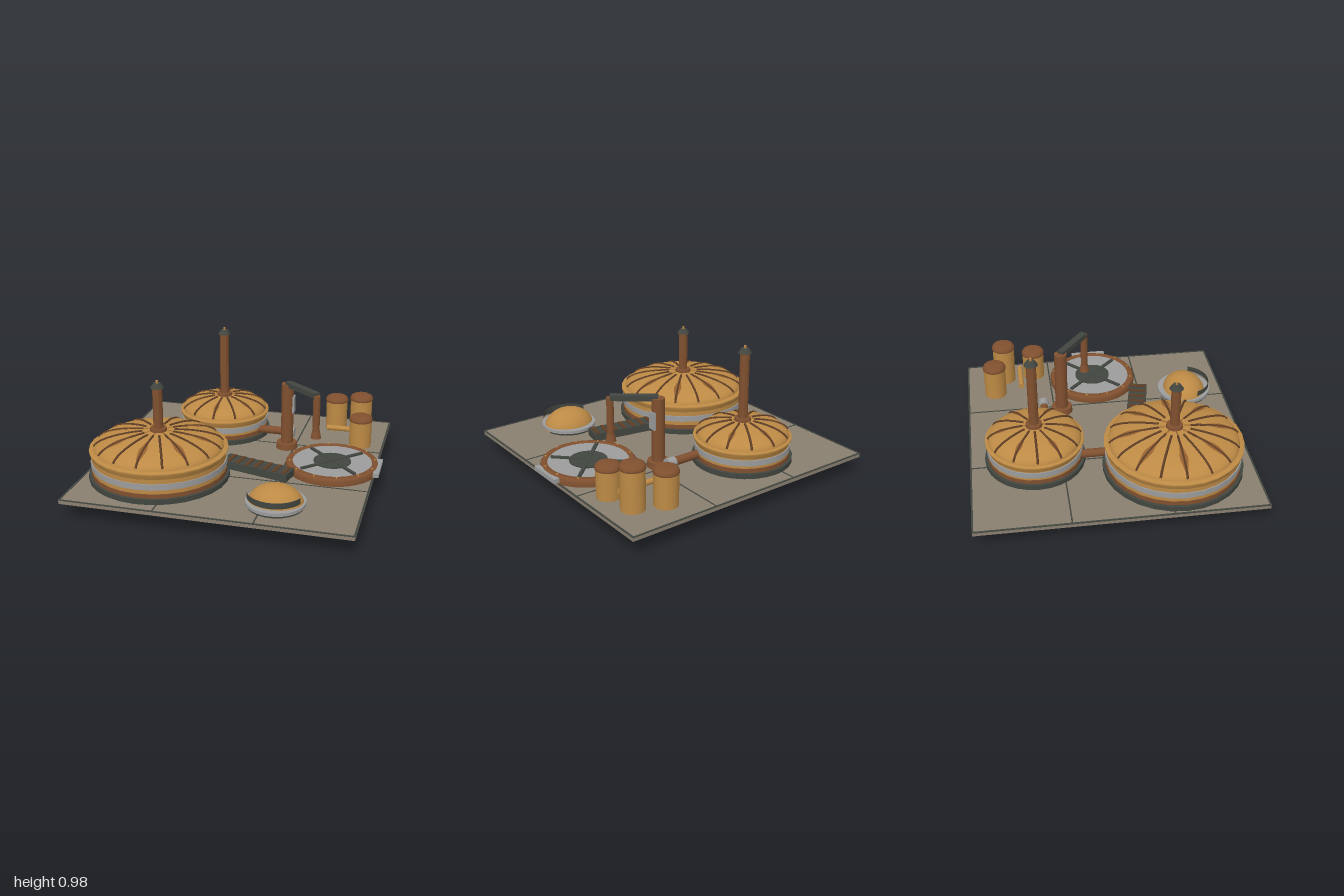
import * as THREE from 'three';

const mat = (name, color, side = THREE.FrontSide) => {
  const m = new THREE.MeshStandardMaterial({ color, side });
  m.name = name;
  return m;
};

export function createModel() {
  const root = new THREE.Group();
  const brass = mat('brass', 0xbd8a45), copper = mat('copper', 0x80502f), iron = mat('iron', 0x42463f, THREE.DoubleSide);
  const stone = mat('stone', 0x8a7f70), steel = mat('steel', 0x9b9c9b), rust = mat('rust', 0x5e3d25);
  const patina = mat('patina', 0x94602f, THREE.DoubleSide);

  const add = (parent, name, geo, material, x = 0, y = 0, z = 0) => {
    const m = new THREE.Mesh(geo, material);
    m.name = name;
    m.position.set(x, y, z);
    parent.add(m);
    return m;
  };
  const group = (name, x, z) => {
    const g = new THREE.Group();
    g.name = name;
    g.position.set(x, 0, z);
    root.add(g);
    return g;
  };
  const box = (p, name, m, w, h, d, x, y, z) => add(p, name, new THREE.BoxGeometry(w, h, d), m, x, y, z);
  // upright cylinder from y0 to y1
  const cyl = (p, name, m, r0, r1, y0, y1, n = 28, x = 0, z = 0) =>
    add(p, name, new THREE.CylinderGeometry(r1, r0, y1 - y0, n), m, x, (y0 + y1) / 2, z);
  const lathe = (p, name, m, pts, n = 28) =>
    add(p, name, new THREE.LatheGeometry(pts.map(([x, y]) => new THREE.Vector2(x, y)), n), m);

  // ground plate with joints and an edge trim
  const ground = group('ground', 0, 0);
  box(ground, 'plate', stone, 1.96, 0.028, 1.96, -0.018, 0.135, -0.003);
  for (const x of [-0.35, 0.32]) box(ground, 'joint', iron, 0.01, 0.004, 1.96, x, 0.149, -0.003);
  for (const z of [-0.34, 0.335]) box(ground, 'joint', iron, 1.96, 0.004, 0.01, -0.018, 0.149, z);
  for (const s of [-1, 1]) {
    box(ground, 'edgeTrim', iron, 1.964, 0.005, 0.012, -0.018, 0.149, -0.003 + s * 0.976);
    box(ground, 'edgeTrim', iron, 0.012, 0.005, 1.964, -0.018 + s * 0.976, 0.149, -0.003);
  }

  // domed boiler house with ribs, streaks and chimney
  function boiler(name, x, z, R, lipY, domeR, domeH, bandY, ribs, top) {
    const g = group(name, x, z);
    const surf = (r, lift = 0) => lipY + domeH * Math.sqrt(Math.max(0, 1 - (r / domeR) ** 2)) + lift;
    cyl(g, 'foundation', iron, R, R, 0.15, 0.185);
    cyl(g, 'lowerBand', copper, R - 0.02, R - 0.02, 0.185, 0.215);
    cyl(g, 'wall', brass, R - 0.024, R - 0.024, 0.215, lipY - 0.03);
    cyl(g, 'steelBand', steel, R - 0.017, R - 0.017, bandY, bandY + 0.042);
    lathe(g, 'lip', brass, [[R - 0.03, lipY - 0.06], [R - 0.009, lipY - 0.015], [R - 0.009, lipY], [domeR - 0.02, lipY + 0.004]]);
    const prof = [];
    for (let i = 0; i <= 12; i++) {
      const a = (i / 12) * Math.PI / 2;
      prof.push([Math.max(domeR * Math.cos(a), 0.0001), lipY + domeH * Math.sin(a)]);
    }
    lathe(g, 'dome', brass, prof, 32);
    const path = [];
    for (let i = 0; i <= 10; i++) {
      const r = domeR * (0.24 + 0.75 * Math.sin(i / 10 * Math.PI / 2));
      path.push(new THREE.Vector3(0, surf(r, 0.002), r));
    }
    const ribGeo = new THREE.TubeGeometry(new THREE.CatmullRomCurve3(path), 14, 0.008, 6);
    // streak: thin strip lying on the dome, widest two thirds of the way out
    const pos = [], idx = [], steps = 12;
    for (let i = 0; i <= steps; i++) {
      const t = i / steps, r = domeR * (0.14 + 0.78 * t);
      const w = domeR * (t < 0.7 ? 0.012 + 0.055 * (t / 0.7) ** 3 : 0.067 - 0.045 * (t - 0.7) / 0.3);
      for (const s of [-1, 1]) pos.push(s * w, surf(Math.hypot(r, w), 0.004), r);
      if (i < steps) {
        const a = i * 2;
        idx.push(a, a + 2, a + 1, a + 1, a + 2, a + 3);
      }
    }
    const streakGeo = new THREE.BufferGeometry();
    streakGeo.setAttribute('position', new THREE.Float32BufferAttribute(pos, 3));
    streakGeo.setIndex(idx);
    streakGeo.computeVertexNormals();
    for (let i = 0; i < ribs; i++) {
      const a = (i / ribs) * Math.PI * 2;
      add(g, 'rib', ribGeo, rust).rotation.y = a;
      if (i % 2 === 0) add(g, 'streak', streakGeo, patina).rotation.y = a;
    }
    const y = lipY + domeH;
    cyl(g, 'chimneyCollar', copper, 0.06, 0.056, y - 0.01, y + 0.02, 16);
    const pipe = new THREE.CylinderGeometry(0.034, 0.034, top - 0.05 - y, 10).toNonIndexed();
    pipe.computeVertexNormals();
    add(g, 'chimney', pipe, copper, 0, (top - 0.05 + y) / 2, 0);
    cyl(g, 'chimneyCap', iron, 0.048, 0.026, top - 0.052, top - 0.02, 12);
    cyl(g, 'chimneyTip', brass, 0.008, 0.008, top - 0.02, top, 8);
  }
  boiler('largeBoiler', -0.49, 0.415, 0.49, 0.365, 0.45, 0.115, 0.245, 16, 0.84);
  boiler('smallBoiler', -0.285, -0.525, 0.352, 0.33, 0.325, 0.105, 0.235, 12, 0.975);

  // pipes
  const pipes = group('pipes', 0, 0);
  cyl(pipes, 'linkPipe', copper, 0.03, 0.03, -0.13, 0.13, 10).rotation.x = Math.PI / 2;
  pipes.children[0].position.set(-0.385, 0.23, -0.13);
  const sidePipe = (name, m, r, x0, x1, y, z) => {
    const p = cyl(pipes, name, m, r, r, 0, x1 - x0, 12);
    p.rotation.z = Math.PI / 2;
    p.position.set((x0 + x1) / 2, y, z);
  };
  sidePipe('outletPipe', copper, 0.03, -0.02, 0.24, 0.22, -0.42);
  sidePipe('outletCoupling', steel, 0.038, 0.23, 0.295, 0.22, -0.42);
  sidePipe('tankPipe', brass, 0.02, 0.52, 0.785, 0.225, -0.57);

  // conveyor
  const conveyor = group('conveyor', 0.17, 0.27);
  conveyor.rotation.y = -0.215;
  conveyor.rotation.z = -0.025;
  box(conveyor, 'conveyorBed', iron, 0.5, 0.055, 0.135, 0, 0.21, 0);
  for (let i = 0; i < 7; i++) box(conveyor, 'slat', rust, 0.026, 0.008, 0.12, -0.2 + i * 0.07, 0.24, 0);

  // turntable
  const table = group('turntable', 0.655, -0.005);
  lathe(table, 'tableRim', copper, [[0.33, 0.15], [0.33, 0.185], [0.318, 0.2], [0.285, 0.205], [0.278, 0.185]], 36);
  cyl(table, 'tableTop', steel, 0.283, 0.283, 0.15, 0.195, 36);
  cyl(table, 'tableHub', iron, 0.133, 0.133, 0.19, 0.203, 24);
  for (const s of [-1, 1]) box(table, 'tableSpoke', iron, 0.53, 0.012, 0.024, 0, 0.201, 0).rotation.y = s * Math.PI / 4;
  for (let i = 0; i < 12; i++) {
    const a = (i + 0.5) * Math.PI / 6;
    cyl(table, 'rivet', brass, 0.007, 0.007, 0.195, 0.208, 8, 0.303 * Math.cos(a), 0.303 * Math.sin(a));
  }
  box(table, 'sideLatch', steel, 0.04, 0.03, 0.265, 0.325, 0.18, 0.005);

  // crane: post, arm and hanging nozzle
  const crane = group('crane', 0.265, -0.285);
  cyl(crane, 'craneBase', copper, 0.08, 0.075, 0.15, 0.195, 20);
  cyl(crane, 'cranePost', copper, 0.046, 0.046, 0.195, 0.65, 12);
  box(crane, 'gaugePlate', steel, 0.012, 0.125, 0.062, 0.048, 0.495, 0);
  const dx = 0.253, dz = 0.203;
  box(crane, 'craneArm', iron, Math.hypot(dx, dz), 0.038, 0.05, dx / 2, 0.65, dz / 2).rotation.y = -Math.atan2(dz, dx);
  cyl(crane, 'hangingPipe', copper, 0.026, 0.026, 0.37, 0.65, 10, dx, dz);
  cyl(crane, 'nozzle', copper, 0.038, 0.027, 0.33, 0.385, 14, dx, dz);

  // storage tanks
  for (const [x, z, top] of [[0.56, -0.77, 0.42], [0.76, -0.69, 0.475], [0.79, -0.46, 0.392]]) {
    const g = group('tank', x, z);
    cyl(g, 'tankBody', brass, 0.082, 0.082, 0.15, top - 0.035, 20);
    lathe(g, 'tankLid', copper, [[0.082, top - 0.045], [0.087, top - 0.042], [0.087, top - 0.03], [0.078, top - 0.012], [0.06, top - 0.002], [0.0001, top]], 20);
  }

  // observation globe set through the plate
  const globe = group('globe', 0.4, 0.68);
  add(globe, 'globeShell', new THREE.SphereGeometry(1, 28, 18), brass, 0, 0.148, 0).scale.set(0.192, 0.148, 0.163);
  cyl(globe, 'globeSeat', iron, 0.19, 0.19, 0.148, 0.168);
  cyl(globe, 'globeRing', steel, 0.2, 0.2, 0.165, 0.187);
  add(globe, 'visorBand', new THREE.CylinderGeometry(0.19, 0.19, 0.042, 20, 1, true, -1.2, 2.4), iron, 0, 0.233, 0);

  return root;
}
